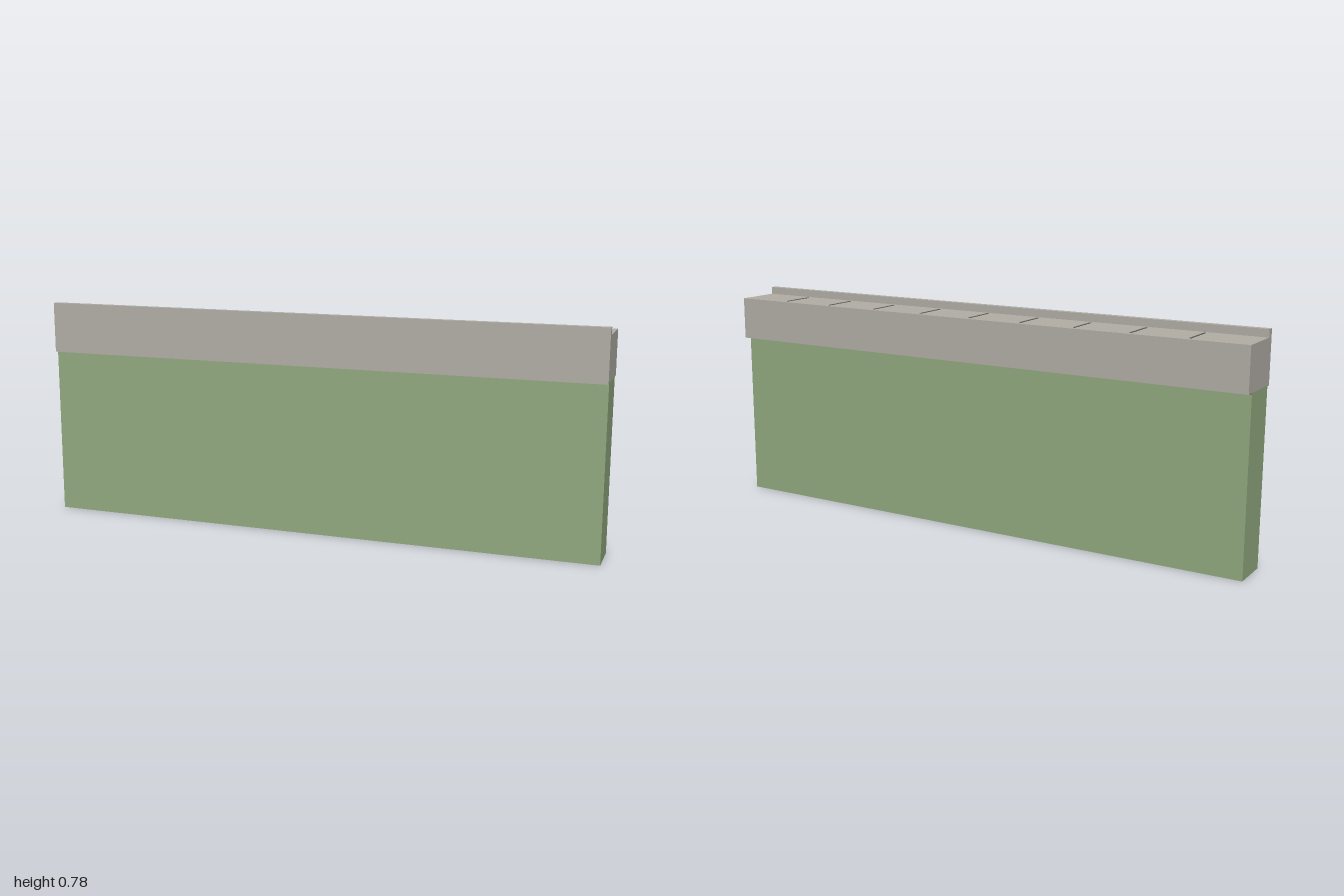
import * as THREE from 'three';

const mat = (name, color) => {
  const m = new THREE.MeshStandardMaterial({ color });
  m.name = name;
  return m;
};

export function createModel() {
  const group = new THREE.Group();
  group.name = 'copedWall';
  const green = mat('wallGreen', 0x92aa80);
  const stone = mat('copingStone', 0xb2aea6);
  const dark = mat('jointGrey', 0x6e6a64);

  // Box given by its extents in x, y and z
  const box = (name, material, [x0, x1], [y0, y1], [z0, z1]) => {
    const mesh = new THREE.Mesh(new THREE.BoxGeometry(x1 - x0, y1 - y0, z1 - z0), material);
    mesh.position.set((x0 + x1) / 2, (y0 + y1) / 2, (z0 + z1) / 2);
    mesh.name = name;
    group.add(mesh);
  };

  const span = [-1, 1];
  box('wallPanel', green, span, [0, 0.6], [-0.062, 0.078]);

  // Coping block with a raised front lip, extruded along the wall
  const profile = new THREE.Shape([
    [-0.0905, 0.6], [0.078, 0.6], [0.078, 0.597], [0.0925, 0.597],
    [0.0925, 0.777], [0.07, 0.777], [0.07, 0.751], [-0.0905, 0.751],
  ].map(([z, y]) => new THREE.Vector2(-z, y)));
  const geo = new THREE.ExtrudeGeometry(profile, { depth: 2, bevelEnabled: false });
  geo.rotateY(Math.PI / 2).translate(-1, 0, 0);
  const coping = new THREE.Mesh(geo, stone);
  coping.name = 'coping';
  group.add(coping);

  // Thin drip strip under the rear overhang
  box('dripStrip', dark, span, [0.597, 0.6], [-0.074, -0.062]);

  // Joints between the coping slabs
  for (let i = -4; i <= 4; i++) {
    const x = i * 0.2;
    box('copingJoint', dark, [x - 0.003, x + 0.003], [0.75, 0.753], [-0.072, 0.049]);
  }
  return group;
}
